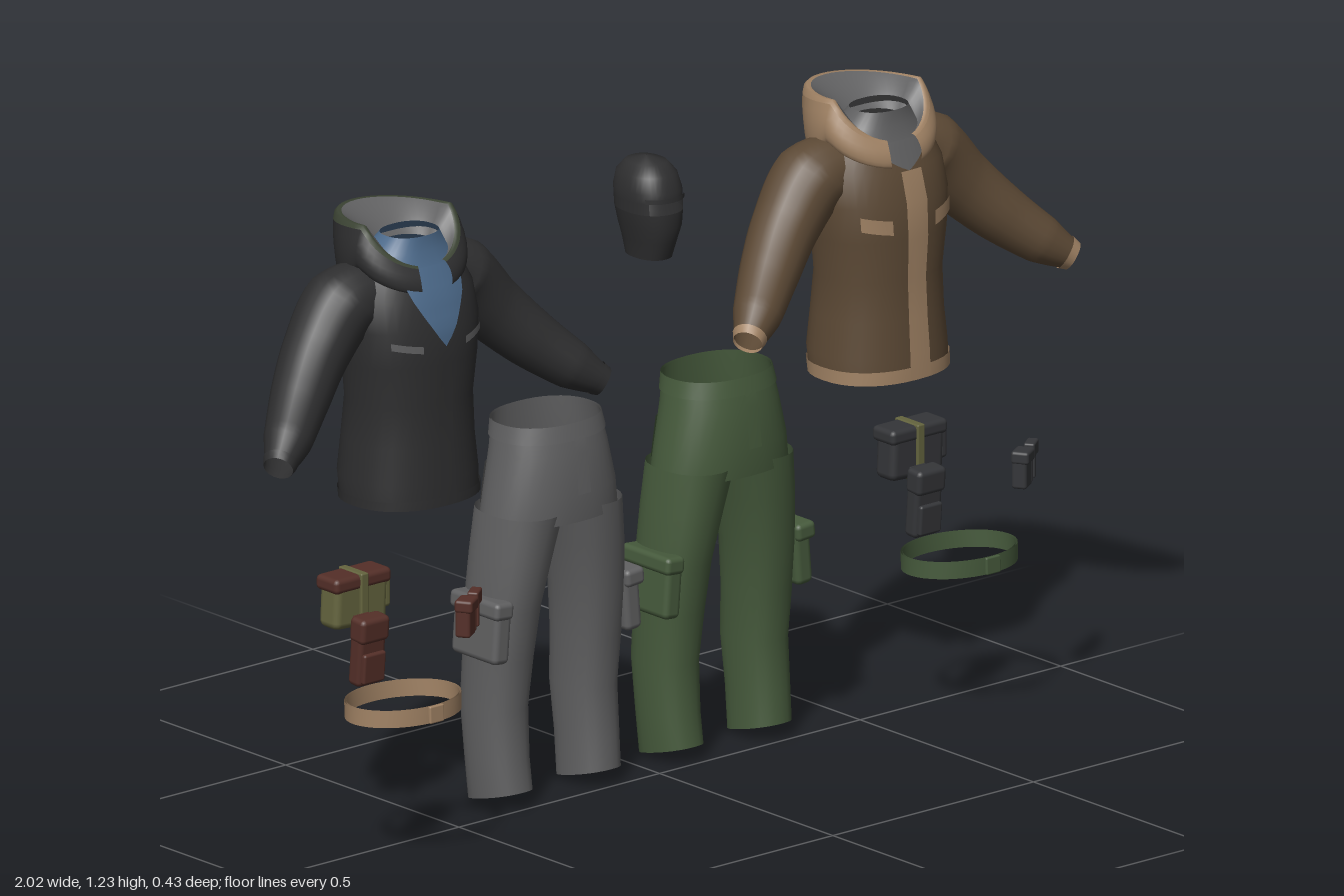
import * as THREE from 'three';
import { mergeVertices } from 'three/addons/utils/BufferGeometryUtils.js';
import { RoundedBoxGeometry } from 'three/addons/geometries/RoundedBoxGeometry.js';

const TAU = Math.PI * 2;
const mat = (name, color) => new THREE.MeshStandardMaterial({ name, color, side: THREE.DoubleSide });

// Smooth sheet over a (u, v) grid; fn(i / nu, j / nv) returns [x, y, z]
function sheet(nu, nv, fn) {
  const pos = [], idx = [], w = nu + 1;
  for (let j = 0; j <= nv; j++) for (let i = 0; i <= nu; i++) pos.push(...fn(i / nu, j / nv));
  for (let j = 0; j < nv; j++) for (let i = 0; i < nu; i++) {
    const a = j * w + i;
    idx.push(a, a + 1, a + w + 1, a, a + w + 1, a + w);
  }
  let g = new THREE.BufferGeometry();
  g.setAttribute('position', new THREE.Float32BufferAttribute(pos, 3));
  g.setIndex(idx);
  g = mergeVertices(g, 1e-5);
  g.computeVertexNormals();
  return g;
}

// Point on a body whose keys are [y, centreX, halfWidth, centreZ, halfDepth]
function bodyPoint(keys, a, y, out = 0) {
  let k = 0;
  while (k < keys.length - 2 && y > keys[k + 1][0]) k++;
  const p = keys[k], q = keys[k + 1], t = (y - p[0]) / (q[0] - p[0]);
  const [, cx, hw, cz, hd] = p.map((v, i) => v + (q[i] - v) * t);
  const soft = s => Math.sign(s) * Math.abs(s) ** 0.88;
  return [cx + (hw + out) * soft(Math.sin(a)), y, cz + (hd + out) * soft(Math.cos(a))];
}

// Wall of a body between two heights and two angles, rows at its keys
function wall(keys, y0, y1, a0 = 0, a1 = TAU, out = 0, n = 36) {
  const ys = [y0, ...keys.map(k => k[0]).filter(y => y > y0 + 1e-4 && y < y1 - 1e-4), y1];
  return sheet(n, ys.length - 1, (u, v) =>
    bodyPoint(keys, a0 + (a1 - a0) * u, ys[Math.round(v * (ys.length - 1))], out));
}

function add(parent, name, geometry, material, x = 0, y = 0, z = 0) {
  const m = new THREE.Mesh(geometry, material);
  m.name = name;
  m.position.set(x, y, z);
  parent.add(m);
  return m;
}
const box = (w, h, d, r = 0.006) => new RoundedBoxGeometry(w, h, d, 2, r);
function group(parent, name, x = 0, y = 0, z = 0) {
  const g = new THREE.Group();
  g.name = name;
  g.position.set(x, y, z);
  parent.add(g);
  return g;
}

const TORSO = [
  [0.685, 0, 0.137, -0.045, 0.112], [0.73, 0, 0.138, -0.05, 0.115], [0.8, 0, 0.13, -0.05, 0.11],
  [0.88, 0, 0.127, -0.047, 0.103], [0.96, 0, 0.137, -0.045, 0.105], [1.03, 0, 0.143, -0.047, 0.103],
  [1.09, 0, 0.138, -0.055, 0.094], [1.14, 0, 0.115, -0.06, 0.078], [1.17, 0, 0.08, -0.055, 0.06],
  [1.2, 0, 0.058, -0.045, 0.048]];
// Hood profile from neck seam over the rim to the lining: [sideX, sideY, frontZ, frontY, backZ, backY]
const HOOD = [
  [0.1, 1.14, 0.032, 1.09, -0.125, 1.125], [0.123, 1.15, 0.04, 1.1, -0.165, 1.05],
  [0.128, 1.185, 0.036, 1.125, -0.2, 1.13], [0.108, 1.23, 0.02, 1.145, -0.215, 1.218],
  [0.085, 1.205, 0.01, 1.14, -0.15, 1.205], [0.058, 1.17, 0, 1.15, -0.095, 1.175]];

function hoodSheet(v0, v1, rows) {
  return sheet(40, rows, (u, v) => {
    const a = 0.3 + (TAU - 0.6) * u, c = Math.cos(a), k = Math.abs(c);
    const pts = HOOD.map(([sx, sy, fz, fy, bz, by]) => new THREE.Vector3(
      sx * Math.sin(a), sy + ((c > 0 ? fy : by) - sy) * k, -0.05 + ((c > 0 ? fz : bz) + 0.05) * k));
    return new THREE.CatmullRomCurve3(pts).getPoint(v0 + (v1 - v0) * v).toArray();
  });
}

// Sleeve: swept rings whose radius follows the arm
const ARM = new THREE.CatmullRomCurve3([[0.07, 1.095, -0.062], [0.14, 1.075, -0.075], [0.215, 1.0, -0.064],
  [0.285, 0.93, -0.03], [0.355, 0.87, 0.015], [0.405, 0.835, 0.046]].map(p => new THREE.Vector3(...p)));
const ARM_R = [0.058, 0.076, 0.066, 0.058, 0.047, 0.027];
function sleeve(t0, t1, rows, out = 0) {
  const N = 40, f = ARM.computeFrenetFrames(N);
  return sheet(18, rows, (u, v) => {
    const t = t0 + (t1 - t0) * v, i = Math.round(t * N), s = t * 5, k = Math.min(4, Math.floor(s));
    const r = ARM_R[k] + (ARM_R[k + 1] - ARM_R[k]) * (s - k) + out;
    return ARM.getPoint(t).addScaledVector(f.normals[i], r * Math.cos(u * TAU))
      .addScaledVector(f.binormals[i], r * Math.sin(u * TAU)).toArray();
  });
}

function jacket(parent, name, x, c) {
  const g = group(parent, name, x);
  add(g, 'jacketBody', wall(TORSO, 0.685, 1.14), c.main);
  add(g, 'shirtCollar', wall(TORSO, 1.14, 1.2), c.shirt);
  add(g, 'hem', wall(TORSO, 0.682, c.hemTop, 0, TAU, 0.003), c.trim);
  add(g, 'hoodOuter', hoodSheet(0, 0.54, 10), c.hood);
  add(g, 'hoodRim', hoodSheet(0.54, 0.66, 3), c.rim);
  add(g, 'hoodLining', hoodSheet(0.66, 1, 6), c.lining);
  // Shirt showing in the open neck
  add(g, 'shirtFront', sheet(10, 8, (u, v) => {
    const y = c.vBottom + (1.145 - c.vBottom) * v;
    return bodyPoint(TORSO, (u * 2 - 1) * 0.62 * v, y, 0.005);
  }), c.shirt);
  add(g, 'frontPlacket', wall(TORSO, 0.685, c.vBottom, -0.1, c.placketEdge, 0.004, 3), c.placket);
  for (const s of [-1, 1]) {
    const arm = group(g, s > 0 ? 'leftSleeve' : 'rightSleeve');
    arm.scale.x = s;
    add(arm, 'sleeve', sleeve(0, 0.975, 39), c.main);
    add(arm, 'cuff', sleeve(0.95, 1, 2, 0.002), c.trim);
    add(arm, 'chestPocketFlap', sheet(6, 2, (u, v) => bodyPoint(TORSO, 0.32 + 0.5 * u,
      1.015 - c.flap + c.flap * v - 0.012 * (1 - u), 0.005)), c.flapMat);
  }
}

const PELVIS = [[0.565, 0, 0.146, -0.057, 0.094], [0.62, 0, 0.138, -0.055, 0.094],
  [0.7, 0, 0.12, -0.058, 0.09], [0.755, 0, 0.11, -0.065, 0.083]];
const LEG = [[0.012, 0.11, 0.052, -0.068, 0.066], [0.1, 0.112, 0.053, -0.076, 0.067],
  [0.2, 0.111, 0.055, -0.085, 0.07], [0.3, 0.109, 0.058, -0.076, 0.073], [0.4, 0.104, 0.062, -0.069, 0.079],
  [0.5, 0.089, 0.067, -0.062, 0.087], [0.585, 0.073, 0.072, -0.057, 0.092]];

function trousers(parent, name, x, m) {
  const g = group(parent, name, x);
  add(g, 'hips', wall(PELVIS, 0.565, 0.755), m);
  add(g, 'waistband', wall(PELVIS, 0.725, 0.757, 0, TAU, 0.003), m);
  add(g, 'fly', wall(PELVIS, 0.62, 0.73, -0.05, 0.12, 0.003, 3), m);
  for (const s of [-1, 1]) {
    const leg = group(g, s > 0 ? 'leftLeg' : 'rightLeg');
    leg.scale.x = s;
    // Hem sits higher over the foot than at the heel
    const geo = wall(LEG, 0.012, 0.585, 0, TAU, 0, 24), p = geo.attributes.position;
    for (let i = 0; i < p.count; i++) if (p.getY(i) < 0.05) p.setY(i, p.getY(i) + 0.012 + (p.getZ(i) + 0.068) * 0.25);
    geo.computeVertexNormals();
    add(leg, 'trouserLeg', geo, m);
    add(leg, 'cargoPocket', box(0.04, 0.11, 0.13, 0.012), m, 0.162, 0.36, -0.062).rotation.z = 0.08;
    add(leg, 'cargoFlap', box(0.046, 0.035, 0.14, 0.01), m, 0.163, 0.412, -0.06).rotation.z = 0.08;
    add(leg, 'backPocket', wall(PELVIS, 0.585, 0.665, Math.PI - 0.8, Math.PI - 0.3, 0.004, 5), m);
  }
}

const HEAD = [[1.045, 0, 0.036, 0, 0.05], [1.08, 0, 0.042, 0.002, 0.06], [1.11, 0, 0.051, 0.003, 0.067],
  [1.14, 0, 0.056, 0, 0.07], [1.18, 0, 0.057, -0.003, 0.07], [1.21, 0, 0.051, -0.006, 0.061],
  [1.23, 0, 0.035, -0.007, 0.042], [1.24, 0, 0.001, -0.007, 0.001]];

function faceMask(parent, m) {
  const g = group(parent, 'faceMask', -0.027);
  add(g, 'maskLower', wall(HEAD, 1.045, 1.14), m);
  add(g, 'maskBesideEyes', wall(HEAD, 1.14, 1.163, 0.8, TAU - 0.8), m);
  add(g, 'maskCrown', wall(HEAD, 1.163, 1.24), m);
  add(g, 'browBand', wall(HEAD, 1.163, 1.172, -0.9, 0.9, 0.003, 16), m);
}

// Belt and pouches, laid out around the belt centre
function kit(parent, name, x, c) {
  const g = group(parent, name, x);
  const belt = group(g, 'belt', 0, 0.323, 0.093);
  belt.rotation.x = -0.03;
  for (const r of [0, 0.004]) add(belt, r ? 'beltOuter' : 'beltInner', sheet(40, 1, (u, v) =>
    [(0.117 + r) * Math.sin(u * TAU), (v - 0.5) * 0.033, (0.091 + r) * Math.cos(u * TAU)]), c.belt);
  add(belt, 'buckle', box(0.035, 0.034, 0.008, 0.003), c.belt, 0, 0, 0.096);

  const tall = group(g, 'tallPouch', -0.122, 0.465, 0.132);
  tall.rotation.x = 0.08;
  add(tall, 'pouchBody', box(0.066, 0.135, 0.034, 0.01), c.pouch);
  add(tall, 'pouchFlap', box(0.07, 0.05, 0.042, 0.01), c.pouch, 0, 0.045, 0.003);
  add(tall, 'pouchFront', box(0.054, 0.06, 0.014, 0.005), c.pouch, 0, -0.03, 0.018);
  add(tall, 'pouchLoop', box(0.04, 0.07, 0.008, 0.003), c.pouch, 0, 0.03, -0.022);

  const wide = group(g, 'widePouch', 0.022, 0.485, -0.075);
  add(wide, 'pouchBody', box(0.13, 0.1, 0.055, 0.014), c.wide).rotation.z = -0.05;
  add(wide, 'pouchFlap', box(0.14, 0.03, 0.064, 0.01), c.pouch, 0.002, 0.04, -0.002);
  add(wide, 'sidePocket', box(0.02, 0.07, 0.05, 0.008), c.wide, 0.064, 0.01, 0);
  add(wide, 'strap', box(0.018, 0.115, 0.068, 0.003), c.strap, 0, 0, 0);
  add(wide, 'strapTail', box(0.014, 0.055, 0.006, 0.002), c.strap, 0, -0.075, 0.028);

  const small = group(g, 'smallPouch', 0.078, 0.498, 0.183);
  small.rotation.y = 0.55;
  add(small, 'pouchBody', box(0.04, 0.07, 0.03), c.pouch);
  add(small, 'pouchFlap', box(0.044, 0.025, 0.036), c.pouch, 0, 0.027, 0.002);
  const holder = group(g, 'toolHolder', 0.128, 0.522, 0.152);
  holder.rotation.y = 0.65;
  add(holder, 'holderBody', box(0.04, 0.028, 0.022, 0.004), c.pouch);
  for (const s of [-1, 1]) add(holder, 'holderProng', box(0.01, 0.055, 0.012, 0.003), c.pouch, s * 0.013, -0.035, 0);
}

export function createModel() {
  const root = new THREE.Group();
  root.name = 'clothingSet';
  const black = mat('black cloth', 0x2e2e2f), brown = mat('brown cloth', 0x5c4935), tan = mat('tan cloth', 0xa08264);
  const blue = mat('blue shirt', 0x4d6b8c), grey = mat('grey cloth', 0x606061), green = mat('green cloth', 0x465a3c);
  const red = mat('red brown leather', 0x542f28), olive = mat('olive canvas', 0x64643e);
  const dark = mat('dark canvas', 0x343538), moss = mat('dark green lining', 0x3c4434);

  jacket(root, 'blackJacket', -0.585, { main: black, shirt: blue, trim: black, hood: black, rim: moss, lining: grey,
    placket: black, placketEdge: 0.1, vBottom: 0.995, flap: 0.014, flapMat: grey, hemTop: 0.7 });
  jacket(root, 'brownJacket', 0.585, { main: brown, shirt: grey, trim: tan, hood: tan, rim: tan, lining: grey,
    placket: tan, placketEdge: 0.18, vBottom: 1.09, flap: 0.028, flapMat: tan, hemTop: 0.708 });
  trousers(root, 'greyTrousers', -0.228, grey);
  trousers(root, 'greenTrousers', 0.198, green);
  faceMask(root, black);
  kit(root, 'brownKit', -0.72, { belt: tan, pouch: red, wide: olive, strap: olive });
  kit(root, 'darkKit', 0.667, { belt: green, pouch: dark, wide: dark, strap: olive });
  return root;
}
